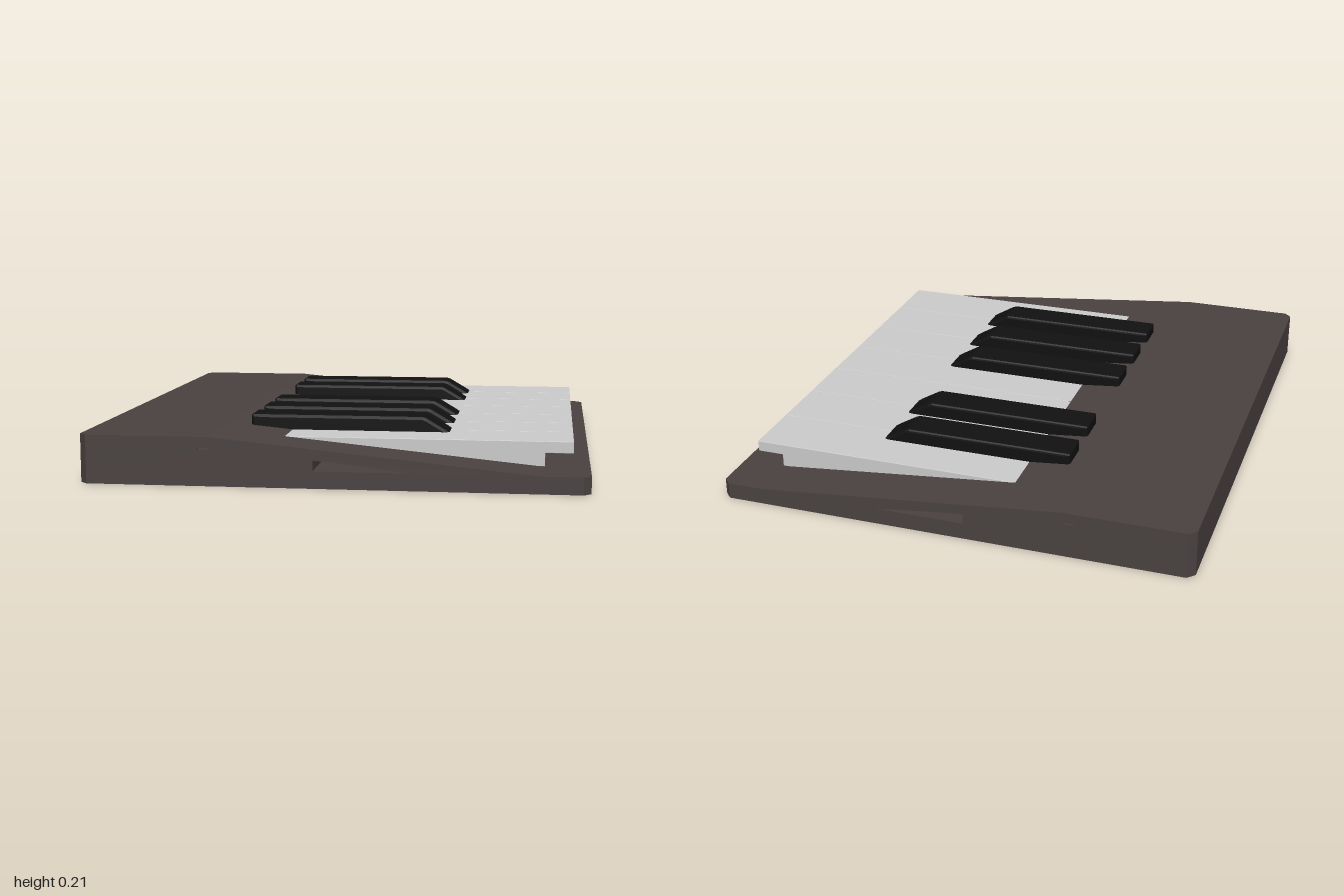
import * as THREE from 'three';

const shapeOf = pts => new THREE.Shape(pts.map(p => new THREE.Vector2(p[0], p[1])));

// Extrude a side profile (x, y) along z, centred on z = 0
function extrudeSide(shape, width, bevel = 0) {
  const g = new THREE.ExtrudeGeometry(shape, {
    depth: width - 2 * bevel, bevelEnabled: bevel > 0, bevelSize: bevel,
    bevelOffset: -bevel, bevelThickness: bevel, bevelSegments: 3,
  });
  g.translate(0, 0, bevel - width / 2);
  return g;
}

export function createModel() {
  const model = new THREE.Group();
  const bodyMat = new THREE.MeshStandardMaterial({ color: 0x4a4241 });
  const whiteMat = new THREE.MeshStandardMaterial({ color: 0xcccccc });
  const blackMat = new THREE.MeshStandardMaterial({ color: 0x111111 });
  const add = (parent, name, geometry, material, z = 0) => {
    const mesh = new THREE.Mesh(geometry, material);
    mesh.name = name;
    mesh.position.z = z;
    parent.add(mesh);
    return mesh;
  };

  // Wedge body with side slots
  const body = new THREE.Group();
  body.name = 'body';
  model.add(body);
  const C = 0.027;                       // corner chamfer
  const backH = 0.175, frontH = 0.062;
  const wedge = shapeOf([
    [-0.9 + C, 0], [0.9 - C, 0], [0.9 - C, frontH], [0.73, frontH],
    [-0.43, backH], [-0.9 + C, backH],
  ]);
  wedge.holes.push(
    shapeOf([[-0.06, 0.062], [-0.06, 0.1], [0.02, 0.093], [0.28, 0.062]]),
    shapeOf([[-0.47, 0.131], [-0.47, 0.135], [-0.43, 0.135], [-0.43, 0.131]]),
  );
  add(body, 'wedge', extrudeSide(wedge, 2), bodyMat);

  // Chamfered strips closing the two ends
  for (const [side, h] of [[-1, backH], [1, frontH]]) {
    const plan = shapeOf([
      [side * (0.9 - C), -1], [side * 0.9, -1 + C],
      [side * 0.9, 1 - C], [side * (0.9 - C), 1],
    ]);
    const g = new THREE.ExtrudeGeometry(plan, { depth: h, bevelEnabled: false });
    g.rotateX(-Math.PI / 2);
    add(body, side < 0 ? 'backEdge' : 'frontEdge', g, bodyMat);
  }

  // Seven white keys with an overhanging lip
  const pitch = 0.231, z0 = -0.815;
  const whiteShape = shapeOf([
    [-0.2, 0.11], [-0.04, 0.11], [-0.04, 0.062], [0.74, 0.062],
    [0.74, 0.11], [0.84, 0.11], [0.84, 0.152], [-0.2, 0.152],
  ]);
  const whiteGeo = extrudeSide(whiteShape, pitch - 0.002, 0.002);
  for (let i = 0; i < 7; i++) {
    add(model, 'whiteKey' + (i + 1), whiteGeo, whiteMat, z0 + (i + 0.5) * pitch);
  }

  // Five black keys with sloping fronts and softened edges
  const blackShape = shapeOf([
    [-0.35, 0.13], [0.39, 0.13], [0.39, 0.152], [0.375, 0.162],
    [0.305, 0.203], [0.29, 0.208], [-0.345, 0.208], [-0.35, 0.203],
  ]);
  const blackGeo = extrudeSide(blackShape, 0.13, 0.012);
  [1, 2, 4, 5, 6].forEach((k, i) => {
    add(model, 'blackKey' + (i + 1), blackGeo, blackMat, z0 + k * pitch);
  });
  return model;
}
